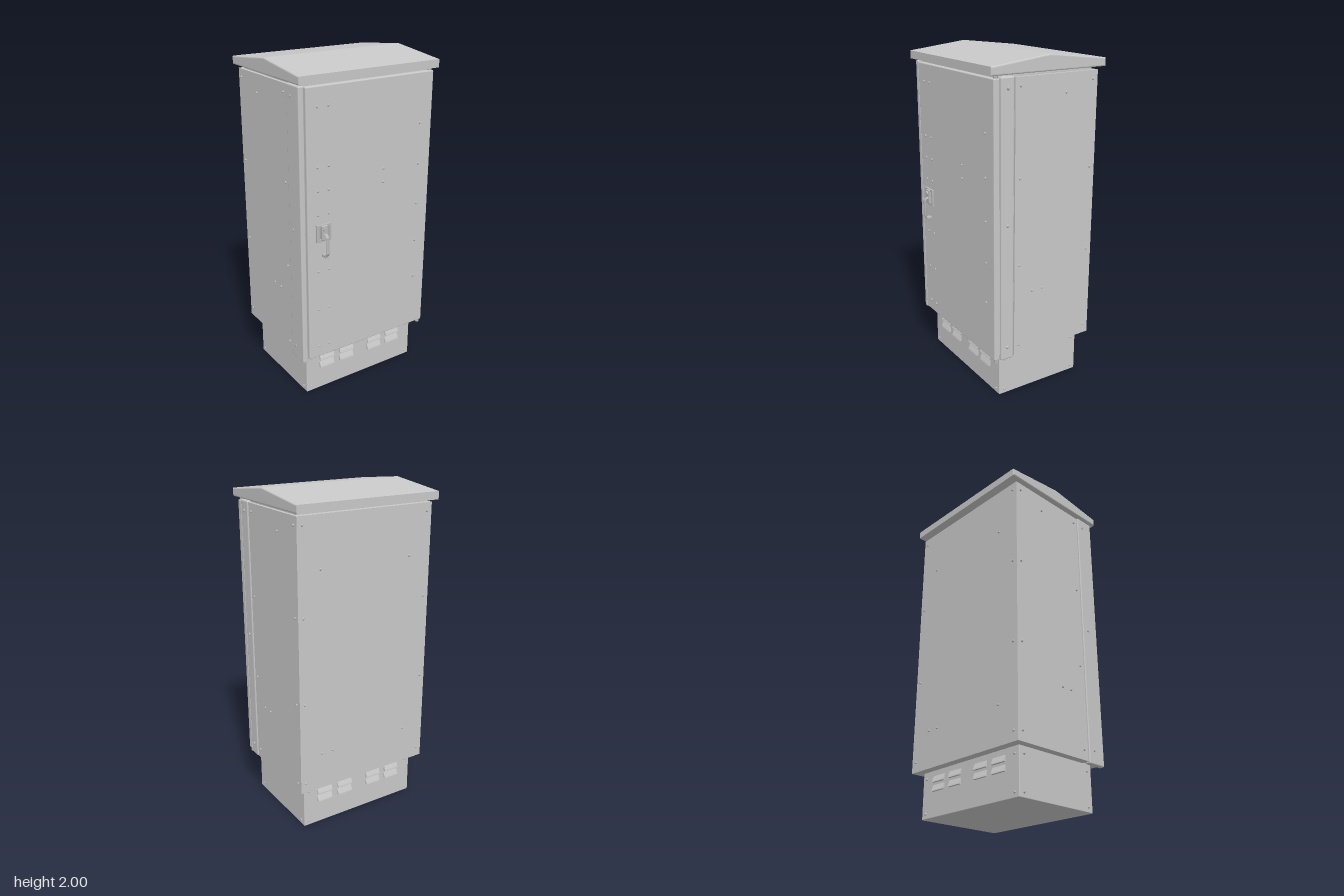
import * as THREE from 'three';
import { mergeGeometries } from 'three/addons/utils/BufferGeometryUtils.js';
import { RoundedBoxGeometry } from 'three/addons/geometries/RoundedBoxGeometry.js';

export function createModel() {
  const root = new THREE.Group();
  const paint = new THREE.MeshStandardMaterial({ color: 0xc8c8c8 });
  paint.name = 'cabinet grey';
  const metal = new THREE.MeshStandardMaterial({ color: 0xb8b8b8 });
  metal.name = 'fitting grey';

  function add(name, geo, mat = paint, parent = root) {
    const mesh = new THREE.Mesh(geo, mat);
    mesh.name = name;
    parent.add(mesh);
    return mesh;
  }

  // Box given by its limits, with optional rounded edges
  function block(name, [x0, x1], [y0, y1], [z0, z1], r = 0, mat = paint, parent = root) {
    const s = [x1 - x0, y1 - y0, z1 - z0];
    const geo = r ? new RoundedBoxGeometry(...s, 2, r) : new THREE.BoxGeometry(...s);
    geo.translate((x0 + x1) / 2, (y0 + y1) / 2, (z0 + z1) / 2);
    return add(name, geo, mat, parent);
  }

  // Profile of [z, y] points extruded along x and centred on x = 0
  function prism(points, length, bevel = 0) {
    const shape = new THREE.Shape(points.map(p => new THREE.Vector2(...p)));
    const geo = new THREE.ExtrudeGeometry(shape, {
      depth: length - 2 * bevel, bevelEnabled: bevel > 0,
      bevelSize: bevel, bevelThickness: bevel, bevelOffset: -bevel, bevelSegments: 3,
    });
    geo.translate(0, 0, -(length - 2 * bevel) / 2);
    return geo.rotateY(-Math.PI / 2);
  }

  // One mesh of domed screw heads facing along a normal
  function screws(name, points, normal, r = 0.008) {
    const turn = new THREE.Quaternion().setFromUnitVectors(
      new THREE.Vector3(0, 1, 0), new THREE.Vector3(...normal));
    add(name, mergeGeometries(points.map(p =>
      new THREE.CylinderGeometry(r * 0.55, r, 0.007, 10)
        .translate(0, 0.0035, 0).applyQuaternion(turn).translate(...p))), metal);
  }

  // Plinth and its hooded vents, front and back
  block('plinth', [-0.395, 0.395], [0, 0.28], [-0.29, 0.275], 0.004);
  const hood = [[0, 0], [0.014, 0], [0.012, 0.008], [0, 0.038]];
  for (const [label, z, turn] of [['front', 0.275, 0], ['back', -0.29, Math.PI]]) {
    const vents = [];
    for (const x of [-0.252, -0.108, 0.104, 0.246])
      for (const y of [0.2, 0.148])
        vents.push(prism(hood, 0.1).translate(x, y, 0).rotateY(turn).translate(0, 0, z));
    add(label + 'Vents', mergeGeometries(vents));
  }

  // Cabinet body, door frame and the neck under the roof
  block('body', [-0.443, 0.443], [0.27, 1.893], [-0.343, 0.203]);
  block('doorFrame', [-0.425, 0.432], [0.275, 1.89], [0.19, 0.3]);
  block('neck', [-0.425, 0.425], [1.88, 1.92], [-0.31, 0.31]);
  block('hingePost', [0.36, 0.447], [0.262, 1.9], [0.209, 0.294], 0.01);
  block('latchPost', [-0.45, -0.416], [0.258, 1.9], [0.207, 0.333], 0.008);

  // Door and hinge pins
  block('door', [-0.409, 0.443], [0.272, 1.893], [0.299, 0.337], 0.007);
  for (const y of [0.264, 1.9])
    add('hingePin', new THREE.CylinderGeometry(0.012, 0.012, 0.024, 12)
      .translate(0.427, y, 0.316), metal);

  // Pitched roof with softened edges
  add('roof', prism([[-0.383, 1.91], [0.363, 1.91], [0.363, 1.957], [-0.005, 2.0],
    [-0.383, 1.957]], 0.924, 0.008));

  // Latch: back plate with raised rim, lock and swinging lever
  const latch = new THREE.Group();
  latch.name = 'latch';
  root.add(latch);
  const rim = new THREE.Shape([[-0.047, -0.05], [0.047, -0.05], [0.047, 0.05], [-0.047, 0.05]]
    .map(p => new THREE.Vector2(...p)));
  rim.holes.push(new THREE.Path([[-0.035, -0.038], [-0.035, 0.038], [0.035, 0.038], [0.035, -0.038]]
    .map(p => new THREE.Vector2(...p))));
  add('latchRim', new THREE.ExtrudeGeometry(rim, {
    depth: 0.01, bevelEnabled: true, bevelSize: 0.002, bevelThickness: 0.002, bevelSegments: 2,
  }).translate(-0.308, 1.073, 0.337), metal, latch);
  block('latchPlate', [-0.345, -0.271], [1.034, 1.112], [0.335, 0.34], 0, metal, latch);
  block('latchMount', [-0.328, -0.288], [1.03, 1.12], [0.337, 0.358], 0.006, metal, latch);
  add('latchLock', new THREE.CylinderGeometry(0.013, 0.013, 0.012, 16)
    .rotateX(Math.PI / 2).translate(-0.308, 1.097, 0.362), metal, latch);
  const path = new THREE.CurvePath();
  const pts = [[1.068, 0.345], [1.063, 0.372], [1.052, 0.378], [0.955, 0.379], [0.942, 0.372], [0.936, 0.34]]
    .map(([y, z]) => new THREE.Vector3(-0.306, y, z));
  for (let i = 1; i < pts.length; i++) path.add(new THREE.LineCurve3(pts[i - 1], pts[i]));
  add('latchLever', new THREE.TubeGeometry(path, 40, 0.006, 10)
    .translate(0.306, 0, 0).scale(2, 1, 1).translate(-0.306, 0, 0), metal, latch);
  block('leverTip', [-0.319, -0.293], [0.926, 0.944], [0.337, 0.37], 0.004, metal, latch);

  // Door screws: two columns beside the latch, one by the hinges, two in the middle
  const doorScrews = [[0.103, 1.37, 0.337], [0.103, 1.29, 0.337]];
  for (const y of [1.785, 1.455, 1.32, 1.18, 0.835, 0.59, 0.345])
    doorScrews.push([-0.34, y, 0.337], [-0.27, y, 0.337]);
  for (const y of [1.6, 1.355, 1.105, 0.86, 0.615]) doorScrews.push([0.357, y, 0.337]);
  screws('doorScrews', doorScrews, [0, 0, 1]);

  // Panel, post and plinth screws on both sides
  const rows = [1.845, 1.345, 0.835, 0.33];
  for (const [label, s] of [['left', 1], ['right', -1]]) {
    const side = [[-0.13, 1.785], [0.08, 0.66], [0.01, 0.66]];
    for (const y of rows) side.push([0.17, y], [-0.31, y]);
    screws(label + 'PanelScrews', side.map(([z, y]) => [s * 0.443, y, z]), [s, 0, 0]);
    screws(label + 'PostScrews', [1.84, 1.09, 0.34].map(y => [s * 0.447, y, 0.25]), [s, 0, 0], 0.011);
    const base = [];
    for (const y of [0.23, 0.03]) base.push([s * 0.395, y, 0.24], [s * 0.395, y, -0.255]);
    screws(label + 'PlinthScrews', base, [s, 0, 0]);
  }

  // Back panel screws, then plinth screws front and back
  const back = [[0.3, 1.6], [-0.293, 1.6], [0.3, 0.5], [0.225, 0.5], [-0.293, 0.5]];
  for (const y of rows) back.push([0.41, y], [-0.41, y]);
  screws('backPanelScrews', back.map(([x, y]) => [x, y, -0.343]), [0, 0, -1]);
  for (const [label, z, n] of [['front', 0.275, 1], ['back', -0.29, -1]]) {
    const base = [];
    for (const y of [0.23, 0.03]) base.push([-0.362, y, z], [0.362, y, z]);
    screws(label + 'PlinthScrews', base, [0, 0, n]);
  }

  return root;
}
